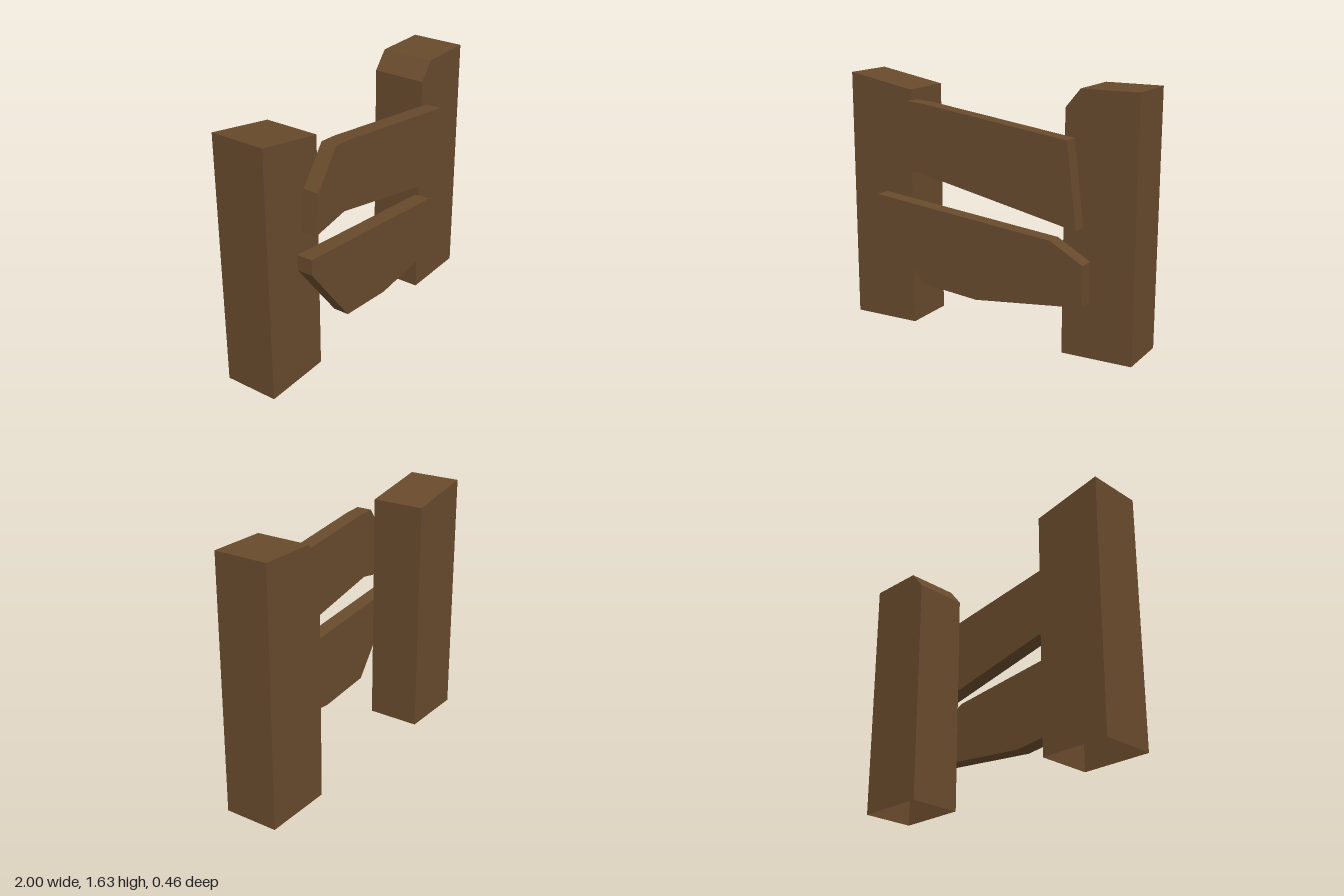
import * as THREE from 'three';

// Extrude an outline (x, y pairs, counter-clockwise) from z0 to z1.
function slab(points, z0, z1) {
  const shape = new THREE.Shape(points.map(([x, y]) => new THREE.Vector2(x, y)));
  const geometry = new THREE.ExtrudeGeometry(shape, { depth: z1 - z0, bevelEnabled: false });
  geometry.translate(0, 0, z0);
  geometry.clearGroups();
  return geometry;
}

// Drop the triangles lying on the ground, leaving the underside open.
function openBottom(geometry) {
  const p = geometry.attributes.position;
  const index = [];
  for (let i = 0; i < p.count; i += 3) {
    if (Math.max(p.getY(i), p.getY(i + 1), p.getY(i + 2)) > 1e-4) index.push(i, i + 1, i + 2);
  }
  geometry.setIndex(index);
  return geometry.toNonIndexed();
}

export function createModel() {
  const wood = new THREE.MeshStandardMaterial({ color: 0x684a2c, side: THREE.DoubleSide });
  wood.name = 'brown wood';

  const group = new THREE.Group();
  group.name = 'brokenFence';

  const add = (name, geometry) => {
    const mesh = new THREE.Mesh(geometry, wood);
    mesh.name = name;
    group.add(mesh);
  };

  const back = -0.228, joint = 0.125, front = 0.228;

  // Posts: one with a slanted top, one with a cut corner
  add('rightPost', openBottom(slab([
    [-1, 0], [-0.545, 0], [-0.545, 1.546], [-1, 1.63],
  ], back, joint)));
  add('leftPost', openBottom(slab([
    [0.54, 0], [1, 0], [1, 1.63], [0.635, 1.63], [0.54, 1.515],
  ], back, joint)));

  // Rough planks nailed across the front of the posts
  add('upperPlank', slab([
    [-0.705, 1.0], [-0.43, 1.046], [0.67, 0.812], [0.603, 1.342],
    [-0.38, 1.48], [-0.5, 1.488], [-0.67, 1.26],
  ], joint, front));
  add('lowerPlank', slab([
    [-0.742, 0.868], [-0.742, 0.765], [-0.4, 0.316], [-0.01, 0.276],
    [0.717, 0.352], [0.717, 0.61], [0.505, 0.732],
  ], joint, front));

  return group;
}
